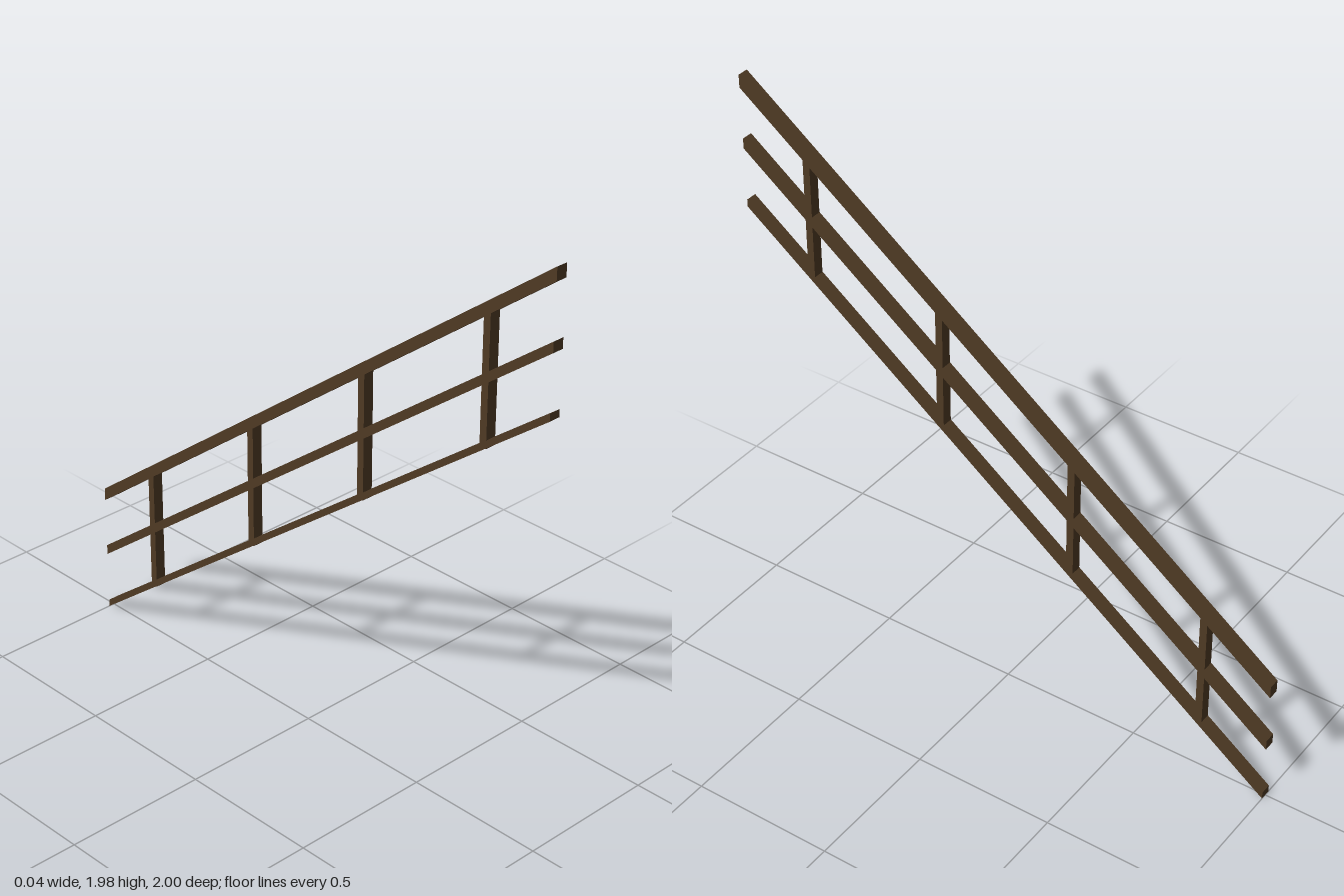
import * as THREE from 'three';

const SLOPE = 0.75;

export function createModel() {
  const group = new THREE.Group();
  group.name = 'slopedRailing';
  const wood = new THREE.MeshStandardMaterial({ color: 0x4f3a24 });
  wood.name = 'dark brown wood';

  // Sloped rail with vertical end cuts; y0 is its underside at the low end
  function rail(name, y0, height) {
    const geo = new THREE.BoxGeometry(0.04, height, 2);
    const p = geo.attributes.position;
    for (let i = 0; i < p.count; i++) {
      p.setY(i, p.getY(i) + y0 + height / 2 + SLOPE * (p.getZ(i) + 1));
    }
    const flat = geo.toNonIndexed();
    flat.computeVertexNormals();
    const mesh = new THREE.Mesh(flat, wood);
    mesh.name = name;
    group.add(mesh);
  }
  rail('handRail', 0.432, 0.045);
  rail('middleRail', 0.214, 0.036);
  rail('bottomRail', 0, 0.026);

  // Upright posts running from the bottom rail into the hand rail
  [-0.75, -0.25, 0.25, 0.75].forEach((z, i) => {
    const bottom = 0.195 + SLOPE * (z + 0.75);
    const height = 0.445;
    const post = new THREE.Mesh(new THREE.BoxGeometry(0.038, height, 0.026), wood);
    post.position.set(0, bottom + height / 2, z);
    post.name = `post${i + 1}`;
    group.add(post);
  });

  return group;
}
